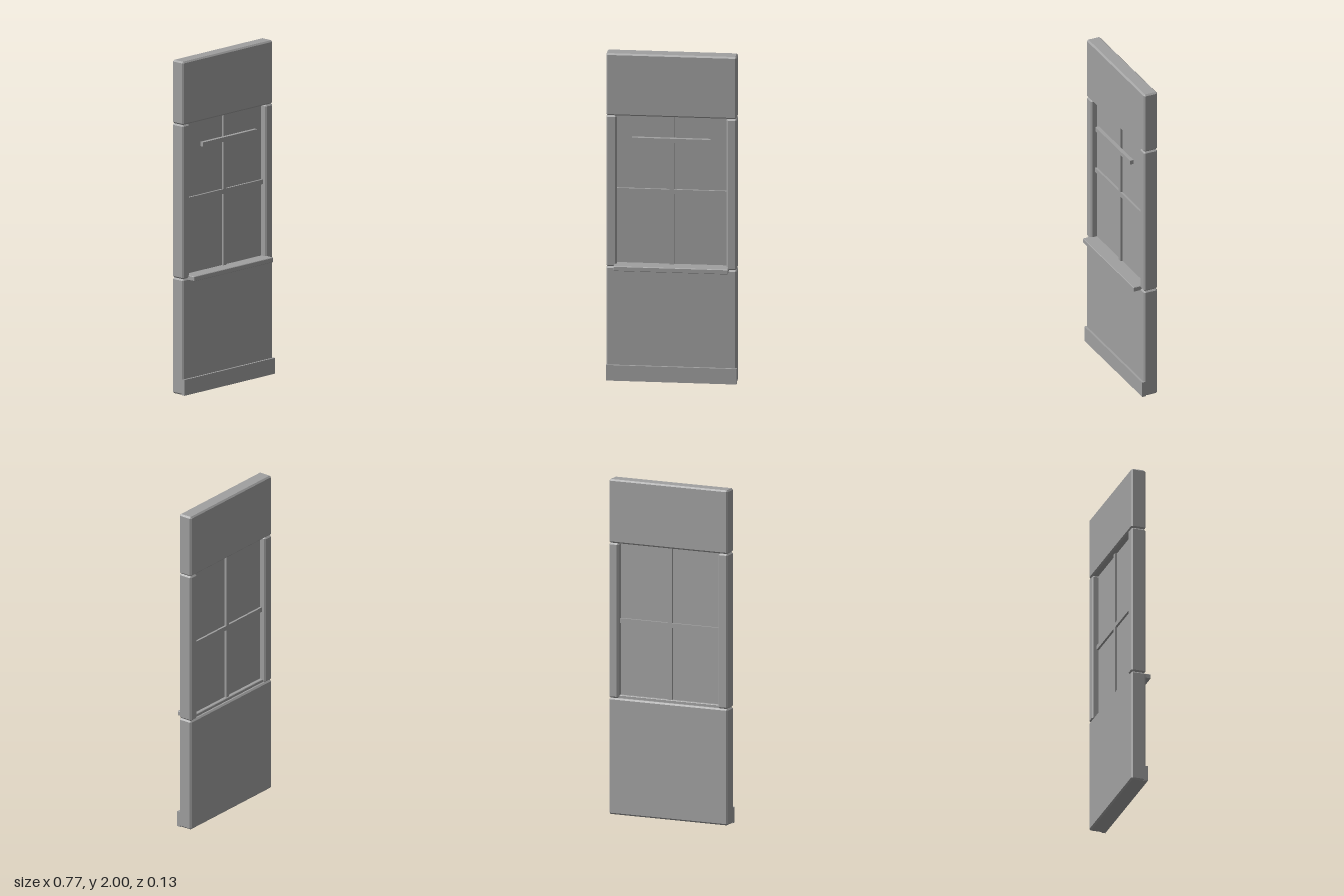
import * as THREE from 'three';
import { ConvexGeometry } from 'three/addons/geometries/ConvexGeometry.js';

// Box from min to max corner, with chamfered edges of width c
function chamferBox(min, max, c) {
  const half = max.map((m, i) => (m - min[i]) / 2);
  const points = [];
  for (const sx of [-1, 1]) for (const sy of [-1, 1]) for (const sz of [-1, 1]) {
    for (let axis = 0; axis < 3; axis++) {
      const s = [sx, sy, sz];
      points.push(new THREE.Vector3(...s.map((v, i) => v * (half[i] - (i === axis ? 0 : c)))));
    }
  }
  return new ConvexGeometry(points);
}

export function createModel() {
  const group = new THREE.Group();
  group.name = 'windowWallPanel';
  const grey = new THREE.MeshStandardMaterial({ color: 0xa0a0a0 });
  grey.name = 'plainGrey';

  function add(name, min, max, chamfer = 0) {
    const geometry = chamfer
      ? chamferBox(min, max, chamfer)
      : new THREE.BoxGeometry(...max.map((m, i) => m - min[i]));
    const mesh = new THREE.Mesh(geometry, grey);
    mesh.name = name;
    mesh.position.set(...max.map((m, i) => (m + min[i]) / 2));
    group.add(mesh);
  }

  const W = 0.383, back = -0.068, front = 0.02;
  const low = 0.695, high = 1.62, mid = -0.024;

  // Wall blocks around the opening
  add('lowerWall', [-W, 0, back], [W, low, front], 0.009);
  add('upperWall', [-W, high, back], [W, 2, front], 0.009);
  add('rightJamb', [-W, low, back], [-0.322, high, front], 0.009);
  add('leftJamb', [0.322, low, back], [W, high, front], 0.009);

  // Glazing and crossing bars
  add('glassPane', [-0.33, low, mid - 0.005], [0.33, high, mid + 0.005]);
  add('verticalBar', [-0.013, low, mid - 0.018], [0.013, high, mid + 0.018]);
  add('horizontalBar', [-0.33, 1.142, mid - 0.018], [0.33, 1.17, mid + 0.018]);

  // Trim on the front
  add('sill', [-0.336, 0.683, -0.05], [0.336, 0.712, 0.067], 0.003);
  add('curtainRail', [-0.23, 1.469, 0.014], [0.23, 1.495, 0.037]);
  add('baseboard', [-W, 0, 0.01], [W, 0.095, 0.033]);

  return group;
}
